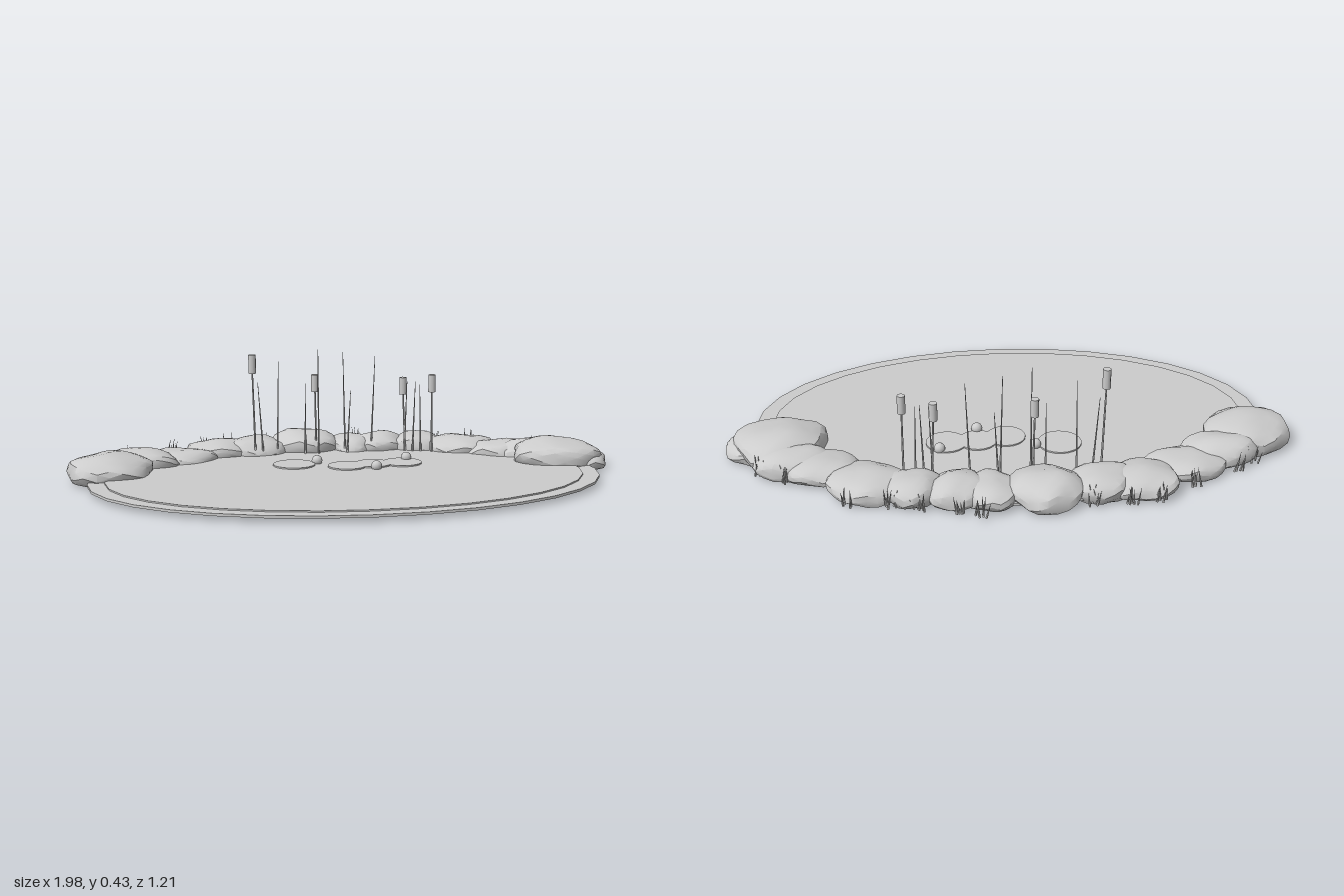
import * as THREE from 'three';
import { mergeVertices, toCreasedNormals } from 'three/addons/utils/BufferGeometryUtils.js';

const stone = new THREE.MeshStandardMaterial({ color: 0xcccccc });
stone.name = 'pale grey';

function seeded(seed) {
  return () => {
    seed = (seed * 16807) % 2147483647;
    return seed / 2147483647;
  };
}

function add(parent, name, geometry, x = 0, y = 0, z = 0) {
  const mesh = new THREE.Mesh(geometry, stone);
  mesh.name = name;
  mesh.position.set(x, y, z);
  parent.add(mesh);
  return mesh;
}

// Flat elliptical plate between two heights
function plate(parent, name, rx, rz, y0, y1, x, z, sides = 32) {
  const mesh = add(parent, name, new THREE.CylinderGeometry(1, 1, y1 - y0, sides), x, (y0 + y1) / 2, z);
  mesh.scale.set(rx, 1, rz);
}

// Lumpy boulder with a flattened underside
function boulderGeometry(rx, rz, height, seed) {
  let geo = new THREE.IcosahedronGeometry(1, 3);
  geo.deleteAttribute('normal');
  geo.deleteAttribute('uv');
  geo = mergeVertices(geo, 1e-3);
  const pos = geo.attributes.position;
  const v = new THREE.Vector3();
  const base = height * 0.4;
  for (let i = 0; i < pos.count; i++) {
    v.fromBufferAttribute(pos, i);
    const lump = 0.96
      + 0.05 * Math.sin(3.1 * v.x + 2.3 * v.z + seed * 1.7)
      + 0.04 * Math.sin(5.3 * v.z - 3.7 * v.y + seed * 2.9)
      + 0.03 * Math.sin(7.1 * v.x + 4.1 * v.y + seed * 4.3);
    const y = Math.sign(v.y) * Math.pow(Math.abs(v.y), 0.85);
    pos.setXYZ(i, v.x * rx * lump, Math.max(0.003, base + y * (height - base) * lump), v.z * rz * lump);
  }
  return toCreasedNormals(geo, 0.5);
}

// Thin stem leaning from its foot to its tip
function stem(parent, name, foot, tip, r0, r1, sides = 5) {
  const dir = tip.clone().sub(foot);
  const mesh = add(parent, name, new THREE.CylinderGeometry(r1, r0, dir.length(), sides));
  mesh.position.copy(foot).addScaledVector(dir, 0.5);
  mesh.quaternion.setFromUnitVectors(new THREE.Vector3(0, 1, 0), dir.normalize());
  return mesh;
}

export function createModel() {
  const model = new THREE.Group();
  model.name = 'pond';

  // Basin and water
  plate(model, 'pondBed', 0.91, 0.572, 0.018, 0.027, 0, 0.042);
  plate(model, 'water', 0.85, 0.525, 0.027, 0.032, 0, 0.042);

  // Lily pads and buds
  const lilies = new THREE.Group();
  lilies.name = 'lilies';
  model.add(lilies);
  [[-0.167, -0.15, 0.077], [0.02, -0.097, 0.07], [0.12, -0.12, 0.068], [0.23, -0.127, 0.072]]
    .forEach(([x, z, r]) => plate(lilies, 'lilyPad', r, r, 0.032, 0.037, x, z, 20));
  [[-0.08, -0.17], [0.255, -0.18], [0.12, -0.045]]
    .forEach(([x, z]) => add(lilies, 'lilyBud', new THREE.SphereGeometry(0.02, 12, 8), x, 0.042, z));

  // Arc of boulders around the back: x, z, half width, half depth, height
  const rocks = new THREE.Group();
  rocks.name = 'boulders';
  model.add(rocks);
  [
    [-0.83, -0.125, 0.17, 0.155, 0.105], [-0.72, -0.24, 0.14, 0.09, 0.095],
    [-0.58, -0.32, 0.14, 0.10, 0.075], [-0.42, -0.42, 0.14, 0.11, 0.085],
    [-0.28, -0.43, 0.13, 0.11, 0.09], [-0.09, -0.47, 0.13, 0.12, 0.108],
    [0.09, -0.46, 0.10, 0.11, 0.085], [0.20, -0.45, 0.11, 0.10, 0.092],
    [0.35, -0.43, 0.11, 0.10, 0.09], [0.50, -0.385, 0.14, 0.12, 0.085],
    [0.65, -0.28, 0.14, 0.10, 0.08], [0.75, -0.24, 0.15, 0.09, 0.092],
    [0.81, -0.12, 0.17, 0.15, 0.112], [0.90, -0.11, 0.10, 0.11, 0.07],
  ].forEach(([x, z, rx, rz, h], i) => add(rocks, 'boulder', boulderGeometry(rx, rz, h, i + 1), x, 0, z));

  // Cattails: foot x, tip x, z, head bottom, head top
  const reeds = new THREE.Group();
  reeds.name = 'reeds';
  model.add(reeds);
  [
    [-0.29, -0.30, -0.34, 0.345, 0.415], [-0.055, -0.06, -0.375, 0.265, 0.33],
    [0.285, 0.275, -0.355, 0.25, 0.315], [0.38, 0.38, -0.32, 0.262, 0.328],
  ].forEach(([x0, x1, z, y0, y1]) => {
    stem(reeds, 'cattailStem', new THREE.Vector3(x0, 0.025, z), new THREE.Vector3(x1, y0 + 0.01, z), 0.004, 0.003);
    add(reeds, 'cattailHead', new THREE.CylinderGeometry(0.014, 0.014, y1 - y0, 8), x1, (y0 + y1) / 2, z);
  });

  // Bare reeds: foot x, tip x, z, tip height
  [
    [-0.26, -0.28, -0.34, 0.31], [-0.205, -0.20, -0.36, 0.385], [-0.10, -0.10, -0.35, 0.30],
    [-0.05, -0.052, -0.345, 0.43], [0.055, 0.046, -0.37, 0.415], [0.06, 0.073, -0.35, 0.27],
    [0.155, 0.17, -0.375, 0.395], [0.28, 0.29, -0.35, 0.30], [0.31, 0.32, -0.34, 0.30],
    [0.34, 0.335, -0.33, 0.29],
  ].forEach(([x0, x1, z, h]) =>
    stem(reeds, 'reed', new THREE.Vector3(x0, 0.025, z), new THREE.Vector3(x1, h, z), 0.004, 0.001));

  // Grass tufts along the outer rim
  const grass = new THREE.Group();
  grass.name = 'grass';
  model.add(grass);
  const rand = seeded(77);
  [
    [-0.82, -0.29], [-0.76, -0.35], [-0.60, -0.44], [-0.47, -0.52], [-0.37, -0.53], [-0.24, -0.53],
    [0.13, -0.58], [0.20, -0.56], [0.33, -0.53], [0.42, -0.51], [0.57, -0.49], [0.77, -0.33], [0.87, -0.27],
  ].forEach(([x, z]) => {
    for (let i = 0; i < 6; i++) {
      const foot = new THREE.Vector3(x + (rand() - 0.5) * 0.04, 0.012, z + (rand() - 0.5) * 0.025);
      const tip = foot.clone().add(
        new THREE.Vector3((rand() - 0.5) * 0.03, 0.04 + rand() * 0.035, (rand() - 0.6) * 0.025));
      stem(grass, 'grassBlade', foot, tip, 0.004, 0.0005, 4);
    }
  });

  return model;
}
